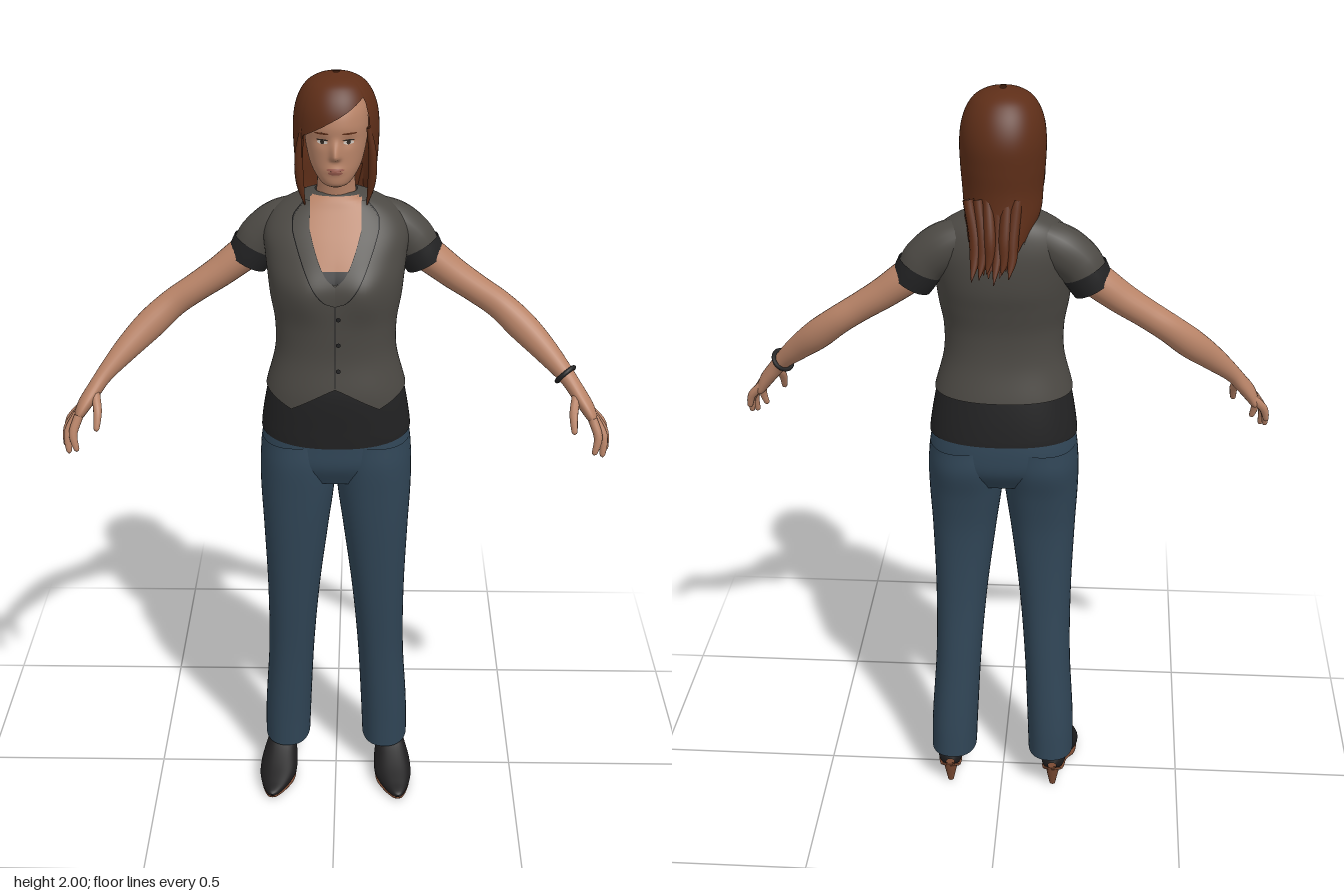
import * as THREE from 'three';

const mat = (name, color, side = THREE.DoubleSide) => {
  const m = new THREE.MeshStandardMaterial({ color, side });
  m.name = name;
  return m;
};
const M = {
  skin: mat('skin', 0xb98468), hair: mat('auburn hair', 0x5e2e18), vest: mat('grey vest', 0x4c4944),
  black: mat('black cloth', 0x222223), jeans: mat('blue denim', 0x304556), shoe: mat('shoe leather', 0x1c1b1c),
  sole: mat('brown sole', 0x7a4a32), lip: mat('lips', 0x9a5c4e), white: mat('eye white', 0xcfc6bd), iris: mat('iris', 0x2e2620),
};
const clamp = THREE.MathUtils.clamp, smooth = THREE.MathUtils.smoothstep, lerp = THREE.MathUtils.lerp;
const gauss = (d, s) => Math.exp(-(d * d) / (s * s));

// Smooth interpolation of table rows keyed by their first column
function sample(rows, k) {
  k = clamp(k, rows[0][0], rows.at(-1)[0]);
  let i = 0;
  while (i < rows.length - 2 && k > rows[i + 1][0]) i++;
  const a = rows[i], b = rows[i + 1], p = rows[i - 1] ?? a, q = rows[i + 2] ?? b;
  const h = b[0] - a[0], t = (k - a[0]) / h, t2 = t * t, t3 = t2 * t;
  return a.map((_, c) => {
    const ma = (b[c] - p[c]) / (b[0] - p[0]) * h, mb = (q[c] - a[c]) / (q[0] - a[0]) * h;
    return (2 * t3 - 3 * t2 + 1) * a[c] + (t3 - 2 * t2 + t) * ma + (3 * t2 - 2 * t3) * b[c] + (t3 - t2) * mb;
  });
}

// Surface grid over u, v in 0..1; optionally wraps around u
function grid(fn, nu, nv, closed) {
  const pos = [], idx = [], w = closed ? nu : nu + 1;
  for (let j = 0; j <= nv; j++) for (let i = 0; i < w; i++) pos.push(...fn(i / nu, j / nv));
  for (let j = 0; j < nv; j++) for (let i = 0; i < nu; i++) {
    const a = j * w + i, b = j * w + (i + 1) % w;
    idx.push(a, b, b + w, a, b + w, a + w);
  }
  const g = new THREE.BufferGeometry();
  g.setAttribute('position', new THREE.Float32BufferAttribute(pos, 3));
  g.setIndex(idx);
  g.computeVertexNormals();
  return g;
}

// Body of rounded sections, rows: [y, centreX, halfWidth, zFront, zBack]
function body(rows, n = 2.3, bump = () => 0) {
  const pw = (s) => Math.sign(s) * Math.abs(s) ** (2 / n);
  const at = (a, y, off = 0) => {
    const [, cx, w, f, b] = sample(rows, y);
    const x = cx + Math.max(w + off, 0.001) * pw(Math.sin(a));
    const d = Math.max((f - b) / 2 + off, 0.001), c = Math.cos(a);
    return [x, y, (f + b) / 2 + d * pw(c) + (c > 0 ? bump(x, y) : 0)];
  };
  const front = (x, y, off = 0) => {
    const [, cx, w, f, b] = sample(rows, y);
    const e = Math.min(Math.abs((x - cx) / w), 1);
    return [x, y, (f + b) / 2 + (f - b) / 2 * (1 - e ** n) ** (1 / n) + bump(x, y) + off];
  };
  // Full wrap between two heights, each a function of the angle
  const wrap = (y0, y1, off = 0, nu = 72, nv = 48) => grid((u, v) => {
    const a = u * Math.PI * 2 - Math.PI;
    return at(a, lerp(y0(a), y1, (1 - Math.cos(v * Math.PI)) / 2), off);
  }, nu, nv, true);
  // Thin panel lying on the front between two x edges
  const panel = (y0, y1, xl, xr, off = 0.003, nu = 16, nv = 32) => grid((u, v) => {
    const y = lerp(y0, y1, v);
    return front(lerp(xl(y), xr(y), u), y, off);
  }, nu, nv);
  const oval = (cx, cy, rx, ry, off) => {
    const e = (y) => rx * Math.sqrt(Math.max(0, 1 - ((y - cy) / ry) ** 2));
    return panel(cy - ry, cy + ry, (y) => cx - e(y), (y) => cx + e(y), off, 8, 10);
  };
  return { wrap, panel, oval };
}

// Limb along points [x, y, z, radius, radius in z]
function limb(pts, nu = 20, nv = 40) {
  const curve = new THREE.CatmullRomCurve3(pts.map((p) => new THREE.Vector3(...p)));
  const radii = pts.map((p, i) => [i, p[3], p[4] ?? p[3]]);
  return grid((u, v) => {
    const T = curve.getTangent(v), B = new THREE.Vector3(0, 0, 1).addScaledVector(T, -T.z).normalize();
    const N = B.clone().cross(T), a = u * Math.PI * 2, [, r, rz] = sample(radii, v * (pts.length - 1));
    return curve.getPoint(v).addScaledVector(N, r * Math.cos(a)).addScaledVector(B, rz * Math.sin(a)).toArray();
  }, nu, nv, true);
}

function mirrored(geo) {
  const g = geo.clone().scale(-1, 1, 1), ix = g.index.array;
  for (let i = 0; i < ix.length; i += 3) [ix[i], ix[i + 1]] = [ix[i + 1], ix[i]];
  return g;
}

export function createModel() {
  const model = new THREE.Group();
  model.name = 'woman';
  const add = (name, geo, m) => {
    const mesh = new THREE.Mesh(geo, m);
    mesh.name = name;
    model.add(mesh);
  };
  const pair = (name, geo, m) => { add(name + 'Left', geo, m); add(name + 'Right', mirrored(geo), m); };

  // Torso: vest over a black shirt
  const torso = body([
    [1.04, 0, 0.197, 0.14, -0.122], [1.1, 0, 0.195, 0.145, -0.122], [1.2, 0, 0.178, 0.15, -0.11],
    [1.3, 0, 0.153, 0.14, -0.09], [1.38, 0, 0.152, 0.143, -0.09], [1.45, 0, 0.164, 0.148, -0.105],
    [1.5, 0, 0.17, 0.146, -0.118], [1.55, 0, 0.176, 0.125, -0.123], [1.6, 0, 0.18, 0.096, -0.122],
    [1.64, 0, 0.165, 0.068, -0.115], [1.67, 0, 0.135, 0.047, -0.105], [1.695, 0, 0.085, 0.032, -0.09],
    [1.705, 0, 0.05, 0.02, -0.075]], 2.3,
  (x, y) => 0.013 * gauss(Math.abs(x) - 0.075, 0.05) * gauss(y - 1.475, 0.06));
  const vestHem = (a) => {
    const x = Math.abs(Math.sin(a)) * 0.18;
    return Math.cos(a) < 0 ? 1.205 : x < 0.1 ? lerp(1.23, 1.17, x / 0.1) : lerp(1.17, 1.205, (x - 0.1) / 0.08);
  };
  add('vest', torso.wrap(vestHem, 1.705, 0.003, 96, 64), M.vest);
  add('shirt', torso.wrap((a) => 1.085 - 0.025 * Math.max(0, Math.cos(a)), 1.26, -0.002), M.black);

  // Neckline, lapels and front closing
  const neckEdge = (y) => 0.064 * Math.sqrt(clamp((y - 1.51) / 0.12, 0, 1));
  const lapelEdge = (y) => 0.105 * Math.sqrt(clamp((y - 1.455) / 0.17, 0, 1)) * (1 - 0.3 * smooth(y, 1.65, 1.7));
  add('chest', torso.panel(1.51, 1.7, (y) => -neckEdge(y), neckEdge, 0.006), M.skin);
  add('camisole', torso.panel(1.51, 1.54, (y) => -neckEdge(y), neckEdge, 0.009), M.black);
  pair('lapel', torso.panel(1.455, 1.69, neckEdge, lapelEdge, 0.009), M.vest);
  pair('lapelSeam', torso.panel(1.455, 1.69, lapelEdge, (y) => lapelEdge(y) + 0.003, 0.008, 2), M.black);
  add('vestClosing', torso.panel(1.235, 1.455, () => -0.001, () => 0.001, 0.006, 2), M.black);
  for (const y of [1.28, 1.35, 1.42]) add('button', torso.oval(0.008, y, 0.006, 0.006, 0.008), M.black);

  // Sleeves and arms
  pair('sleeve', limb([[0.08, 1.648, -0.045, 0.04, 0.05], [0.14, 1.61, -0.047, 0.06, 0.06],
    [0.19, 1.57, -0.047, 0.06, 0.058], [0.213, 1.535, -0.047, 0.055, 0.056]]), M.vest);
  pair('cuff', limb([[0.205, 1.552, -0.047, 0.06, 0.059], [0.217, 1.53, -0.047, 0.058, 0.058],
    [0.229, 1.508, -0.047, 0.054, 0.056]], 24, 8), M.black);
  pair('arm', limb([[0.18, 1.565, -0.047, 0.045, 0.045], [0.24, 1.522, -0.047, 0.044, 0.048],
    [0.3, 1.477, -0.043, 0.04, 0.044], [0.36, 1.437, -0.038, 0.037, 0.039], [0.42, 1.396, -0.032, 0.037, 0.036],
    [0.48, 1.345, -0.01, 0.039, 0.036], [0.54, 1.29, 0.025, 0.032, 0.031], [0.595, 1.233, 0.062, 0.022, 0.026],
    [0.62, 1.2, 0.08, 0.02, 0.031], [0.645, 1.165, 0.1, 0.018, 0.039], [0.66, 1.138, 0.11, 0.012, 0.036],
    [0.664, 1.128, 0.112, 0.001, 0.002]], 24, 72), M.skin);
  const fingers = [
    [[0.655, 1.15, 0.138], [0.67, 1.105, 0.155], [0.662, 1.065, 0.163]],
    [[0.66, 1.148, 0.119], [0.686, 1.1, 0.135], [0.685, 1.053, 0.146]],
    [[0.66, 1.148, 0.1], [0.69, 1.105, 0.112], [0.695, 1.062, 0.122]],
    [[0.656, 1.152, 0.082], [0.686, 1.12, 0.09], [0.695, 1.085, 0.097]],
    [[0.615, 1.195, 0.1], [0.607, 1.16, 0.135], [0.609, 1.12, 0.158]]];
  fingers.forEach(([a, b, c], i) => {
    const tip = c.map((v, k) => v + (v - b[k]) * 0.12);
    pair(i < 4 ? 'finger' : 'thumb', limb([[...a, 0.012], [...b, 0.011], [...c, 0.007], [...tip, 0.001]], 10, 14), M.skin);
  });
  const bracelet = new THREE.TorusGeometry(0.028, 0.006, 8, 24);
  bracelet.applyQuaternion(new THREE.Quaternion().setFromUnitVectors(
    new THREE.Vector3(0, 0, 1), new THREE.Vector3(0.055, -0.057, 0.037).normalize()));
  add('bracelet', bracelet.translate(0.589, 1.24, 0.058), M.black);

  // Jeans
  const hips = body([[0.95, 0, 0.185, 0.115, -0.085], [1, 0, 0.197, 0.137, -0.115], [1.05, 0, 0.195, 0.139, -0.12],
    [1.13, 0, 0.18, 0.135, -0.112]], 2.4);
  add('hips', hips.wrap(() => 0.95, 1.13), M.jeans);
  const leg = body([[0.1, 0.138, 0.063, 0.06, -0.125], [0.2, 0.135, 0.064, 0.066, -0.12],
    [0.4, 0.124, 0.063, 0.082, -0.1], [0.6, 0.115, 0.071, 0.105, -0.083], [0.8, 0.106, 0.087, 0.126, -0.082],
    [0.92, 0.101, 0.098, 0.136, -0.1], [1, 0.1, 0.099, 0.141, -0.12], [1.06, 0.1, 0.093, 0.137, -0.118]], 2.3);
  pair('jeansLeg', leg.wrap((a) => 0.1 - 0.006 * Math.cos(a), 1.06, 0, 48, 56), M.jeans);

  // Heeled shoes, lofted from heel to toe: [z, x, halfWidth, -bottom, -top]
  const shoeRows = [[-0.108, 0.145, 0.012, -0.066, -0.085], [-0.095, 0.146, 0.03, -0.058, -0.11],
    [-0.04, 0.15, 0.036, -0.048, -0.125], [0, 0.154, 0.04, -0.03, -0.118], [0.05, 0.159, 0.05, -0.009, -0.085],
    [0.1, 0.163, 0.05, -0.005, -0.058], [0.15, 0.17, 0.033, -0.006, -0.036], [0.182, 0.175, 0.013, -0.008, -0.023],
    [0.188, 0.176, 0.002, -0.012, -0.017]];
  const soleRows = shoeRows.map(([z, x, w, b]) => [z, x, w * 0.92, b + 0.005, b - 0.006]);
  pair('shoe', body(shoeRows).wrap(() => -0.108, 0.188, 0, 32, 40).rotateX(Math.PI / 2), M.shoe);
  pair('sole', body(soleRows, 3).wrap(() => -0.108, 0.186, 0, 24, 40).rotateX(Math.PI / 2), M.sole);
  pair('heel', new THREE.CylinderGeometry(0.022, 0.008, 0.066, 16).translate(0.146, 0.033, -0.085), M.sole);

  // Neck and head
  const neck = body([[1.62, 0, 0.06, 0.02, -0.08], [1.69, 0, 0.051, 0.026, -0.078], [1.74, 0, 0.047, 0.035, -0.07],
    [1.8, 0, 0.05, 0.05, -0.07]], 2);
  add('neck', neck.wrap(() => 1.62, 1.8, 0, 40, 16), M.skin);
  const head = body([[1.735, 0, 0.012, 0.075, 0.045], [1.742, 0, 0.03, 0.09, 0.02], [1.755, 0, 0.044, 0.096, -0.01],
    [1.78, 0, 0.06, 0.097, -0.045], [1.81, 0, 0.07, 0.097, -0.07], [1.85, 0, 0.077, 0.097, -0.085],
    [1.89, 0, 0.079, 0.099, -0.09], [1.93, 0, 0.073, 0.087, -0.09], [1.965, 0, 0.05, 0.055, -0.07],
    [1.98, 0, 0.01, 0, -0.03]], 2.1,
  (x, y) => 0.021 * gauss(x, 0.011) * smooth(y, 1.803, 1.815) * (1 - smooth(y, 1.815, 1.868))
    + 0.005 * gauss(x, 0.022) * gauss(y - 1.781, 0.01) - 0.005 * gauss(Math.abs(x) - 0.032, 0.017) * gauss(y - 1.852, 0.013));
  add('head', head.wrap(() => 1.735, 1.98, 0, 144, 72), M.skin);
  pair('eyeWhite', head.oval(0.032, 1.851, 0.013, 0.005, 0.002), M.white);
  pair('iris', head.oval(0.032, 1.851, 0.005, 0.005, 0.003), M.iris);
  pair('upperLash', head.oval(0.032, 1.857, 0.015, 0.002, 0.003), M.iris);
  pair('eyebrow', head.oval(0.034, 1.873, 0.018, 0.0025, 0.002), M.hair);
  add('upperLip', head.oval(0, 1.785, 0.022, 0.004, 0.002), M.lip);
  add('lowerLip', head.oval(0, 1.777, 0.018, 0.005, 0.002), M.lip);

  // Hair: one shell with a swept fringe, side curtains and a long back
  const hair = body([[1.57, 0.015, 0.045, -0.1, -0.178], [1.64, 0.01, 0.075, -0.01, -0.155], [1.7, 0, 0.094, 0.06, -0.138],
    [1.76, 0, 0.1, 0.095, -0.134], [1.82, 0, 0.105, 0.107, -0.139], [1.88, 0, 0.106, 0.109, -0.141],
    [1.93, 0, 0.098, 0.1, -0.127], [1.97, 0, 0.077, 0.076, -0.1], [1.99, 0, 0.048, 0.045, -0.07],
    [2, 0, 0.008, 0, -0.03]], 2.1);
  const hairHem = (a) => {
    const b = Math.abs(a), fringe = 1.908 + 0.062 * Math.sin(a);
    const fall = 1.695 - 0.115 * smooth(b, 1.3, 2.9) + 0.01 * Math.sin(23 * a);
    return lerp(fringe, fall, smooth(b, 0.82, 1.02));
  };
  add('hair', hair.wrap(hairHem, 2, 0, 200, 64), M.hair);
  // Loose pointed locks at the nape and beside the face
  for (let i = 0; i < 6; i++) {
    const x = -0.03 + i * 0.018, d = 0.012 * Math.sin(i * 2.4);
    add('backLock', limb([[x * 1.3, 1.75, -0.115, 0.014], [x, 1.66, -0.14 - d / 2, 0.016],
      [x, 1.61, -0.157, 0.012], [x + 0.006, 1.572 + d, -0.183 + d, 0.001]], 10, 16), M.hair);
  }
  pair('sideLock', limb([[0.08, 1.88, 0.06, 0.006], [0.09, 1.81, 0.055, 0.01], [0.088, 1.74, 0.045, 0.01],
    [0.076, 1.675, 0.035, 0.001]], 10, 20), M.hair);
  return model;
}
